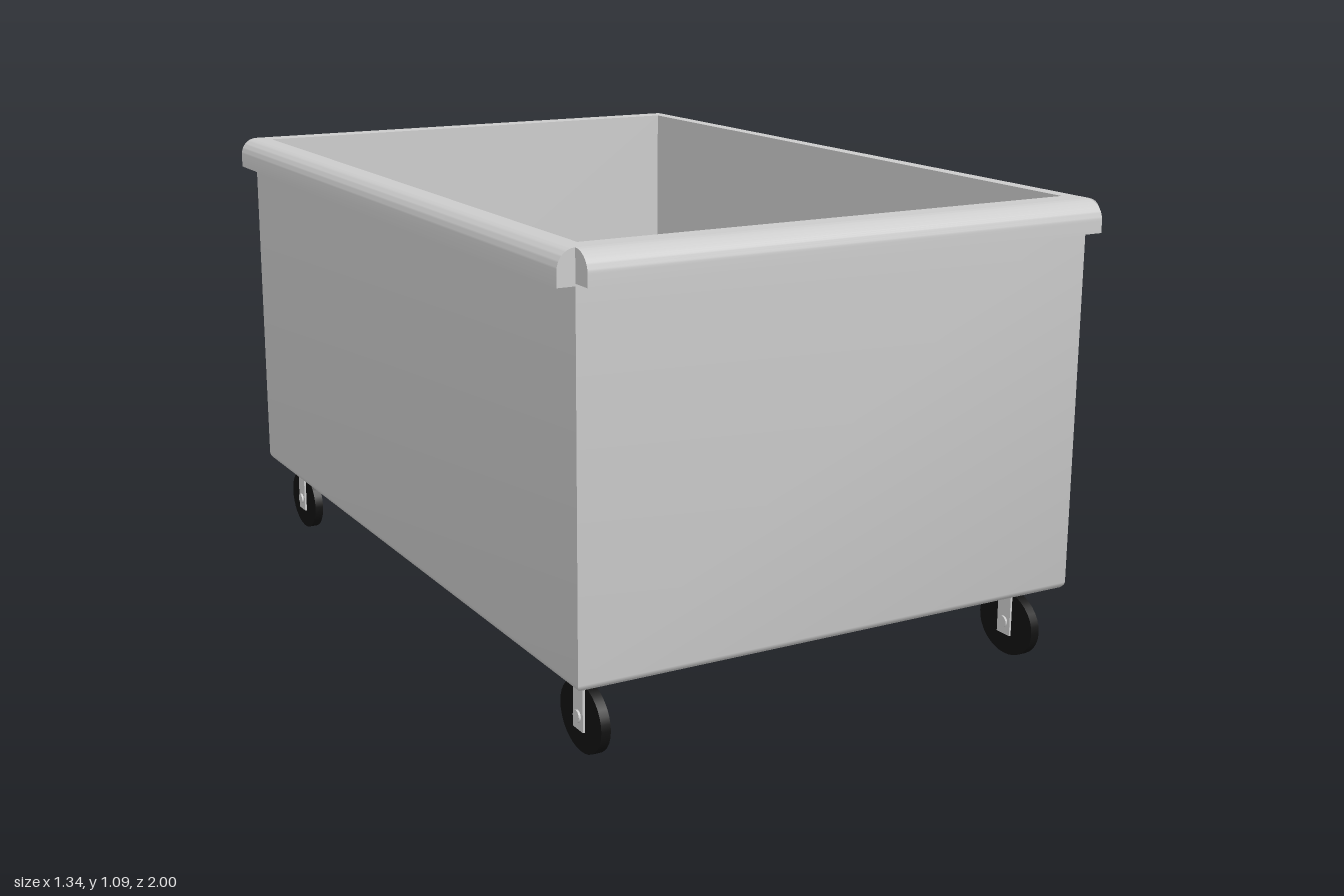
import * as THREE from 'three';
import { toCreasedNormals } from 'three/addons/utils/BufferGeometryUtils.js';

const grey = new THREE.MeshStandardMaterial({ color: 0xcccccc });
const black = new THREE.MeshStandardMaterial({ color: 0x111111 });

function add(parent, name, geometry, material = grey, x = 0, y = 0, z = 0) {
  const mesh = new THREE.Mesh(geometry, material);
  mesh.name = name;
  mesh.position.set(x, y, z);
  parent.add(mesh);
  return mesh;
}

// Open tub: rectangular rings [halfX, halfZ, y] joined from underside to inner floor
function tubGeometry() {
  const rings = [[0, 0, 0.175]];
  for (let i = 0; i <= 4; i++) {
    const a = (i / 4) * Math.PI / 2;
    rings.push([0.605 + 0.025 * Math.sin(a), 0.92 + 0.03 * Math.sin(a), 0.195 - 0.02 * Math.cos(a)]);
  }
  rings.push([0.63, 0.95, 1.085], [0.6, 0.9, 1.085], [0.6, 0.9, 0.23], [0, 0, 0.23]);
  const corners = [[1, 1], [1, -1], [-1, -1], [-1, 1]];
  const point = (r, c) => [r[0] * corners[c][0], r[2], r[1] * corners[c][1]];
  const positions = [];
  for (let i = 0; i < rings.length - 1; i++) {
    for (let c = 0; c < 4; c++) {
      const n = (c + 1) % 4;
      const a = point(rings[i], c), b = point(rings[i], n);
      const d = point(rings[i + 1], c), e = point(rings[i + 1], n);
      if (rings[i][0] > 0) positions.push(...a, ...b, ...e);
      if (rings[i + 1][0] > 0) positions.push(...a, ...e, ...d);
      else positions.push(...[]);
    }
  }
  const geometry = new THREE.BufferGeometry();
  geometry.setAttribute('position', new THREE.Float32BufferAttribute(positions, 3));
  geometry.computeVertexNormals();
  return toCreasedNormals(geometry, 0.6);
}

// Rolled lip: straight outer face, rounded upper edge
function lipGeometry(width, bottom, length) {
  const shape = new THREE.Shape();
  shape.moveTo(0, bottom);
  shape.lineTo(width, bottom);
  shape.lineTo(width, 1.042);
  shape.absellipse(0, 1.042, width, 0.043, 0, Math.PI / 2, false);
  shape.lineTo(0, bottom);
  const geometry = new THREE.ExtrudeGeometry(shape, { depth: length, bevelEnabled: false, curveSegments: 8 });
  geometry.translate(0, 0, -length / 2);
  return toCreasedNormals(geometry, 0.5);
}

// Caster: elliptical wheel, two fork plates and an axle
function caster(name, x, z) {
  const group = new THREE.Group();
  group.name = name;
  group.position.set(x, 0, z);
  const wheel = new THREE.CylinderGeometry(0.077, 0.077, 0.022, 32);
  wheel.rotateZ(Math.PI / 2);
  wheel.scale(1, 1, 1.2);
  add(group, 'wheel', wheel, black, 0, 0.077, 0);
  for (const s of [-1, 1]) {
    add(group, 'forkPlate', new THREE.BoxGeometry(0.005, 0.13, 0.044), grey, s * 0.0145, 0.115, 0);
  }
  const axle = new THREE.CylinderGeometry(0.014, 0.014, 0.044, 12);
  axle.rotateZ(Math.PI / 2);
  add(group, 'axle', axle, grey, 0, 0.08, 0);
  return group;
}

export function createModel() {
  const model = new THREE.Group();
  model.name = 'wheeledTub';
  add(model, 'tub', tubGeometry());

  // Lips along all four upper edges
  const lips = [
    ['leftLip', 0.63, 0, 0, 0.04, 1.01, 1.9],
    ['rightLip', -0.63, 0, Math.PI, 0.04, 1.01, 1.9],
    ['frontLip', 0, 0.95, -Math.PI / 2, 0.05, 1.015, 1.26],
    ['backLip', 0, -0.95, Math.PI / 2, 0.05, 1.007, 1.26],
  ];
  for (const [name, x, z, turn, width, bottom, length] of lips) {
    add(model, name, lipGeometry(width, bottom, length), grey, x, 0, z).rotation.y = turn;
  }

  // Casters under the corners
  for (const sx of [-1, 1]) {
    for (const sz of [-1, 1]) {
      model.add(caster((sz > 0 ? 'front' : 'back') + (sx > 0 ? 'Left' : 'Right') + 'Caster', sx * 0.56, sz * 0.845));
    }
  }
  return model;
}
